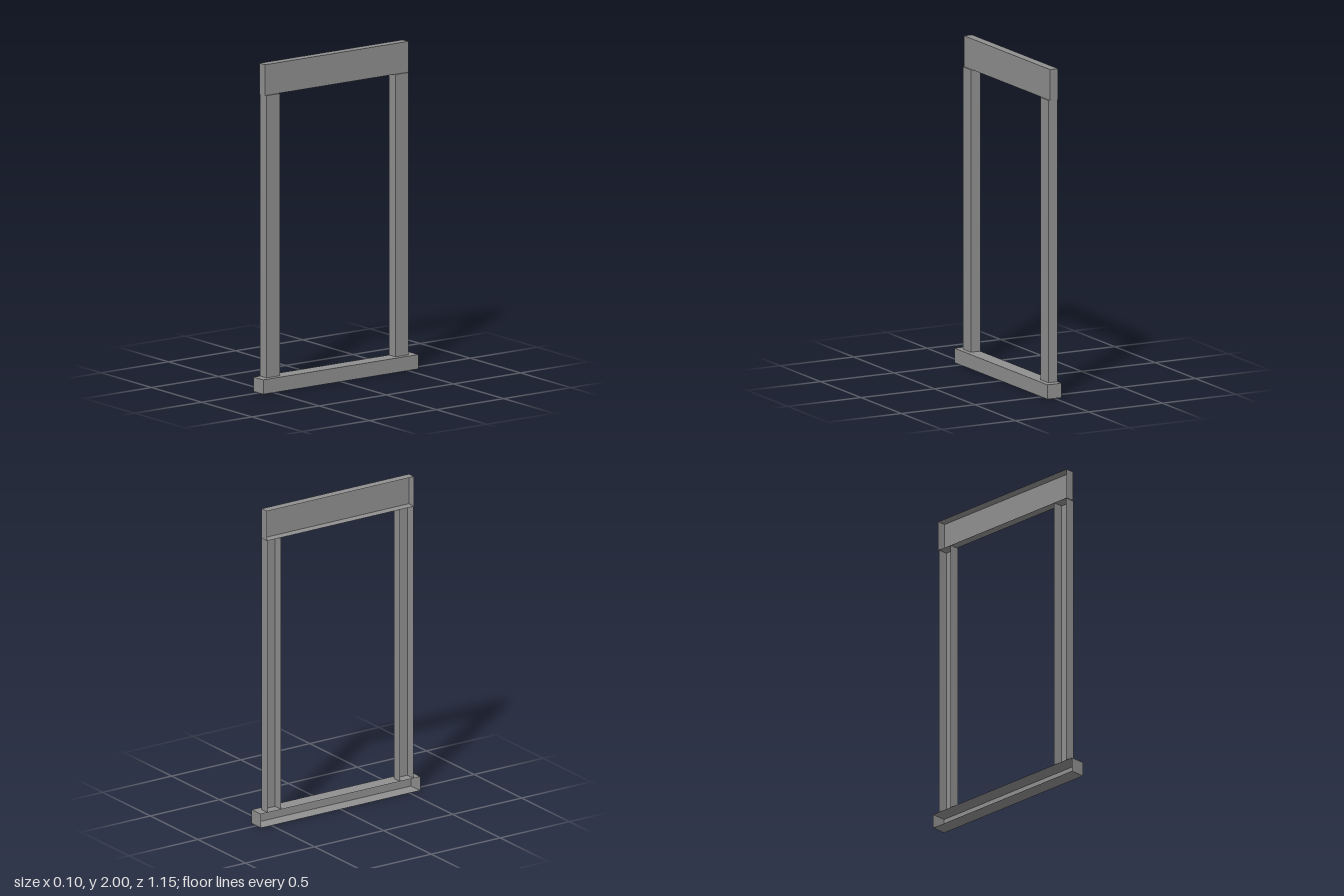
import * as THREE from 'three';

const grey = new THREE.MeshStandardMaterial({ color: 0x909090, side: THREE.DoubleSide });
grey.name = 'grey trim';

const BACK = -0.048; // wall plane shared by every part

// Box whose wall side (-x) is left open
function openBox(name, xFront, y0, y1, z0, z1) {
  const geo = new THREE.BoxGeometry(xFront - BACK, y1 - y0, z1 - z0);
  const index = Array.from(geo.index.array);
  index.splice(6, 6); // drop the -x face
  geo.setIndex(index);
  geo.clearGroups();
  geo.translate((xFront + BACK) / 2, (y0 + y1) / 2, (z0 + z1) / 2);
  const mesh = new THREE.Mesh(geo, grey);
  mesh.name = name;
  return mesh;
}

export function createModel() {
  const group = new THREE.Group();
  group.name = 'windowTrim';

  // Sill and header boards
  group.add(openBox('sill', 0.048, 0, 0.088, -0.577, 0.577));
  group.add(openBox('header', 0.007, 1.812, 2, -0.533, 0.533));

  // Side posts between them
  group.add(openBox('postFront', 0.016, 0.088, 1.812, 0.43, 0.528));
  group.add(openBox('postBack', 0.016, 0.088, 1.812, -0.528, -0.43));

  return group;
}
